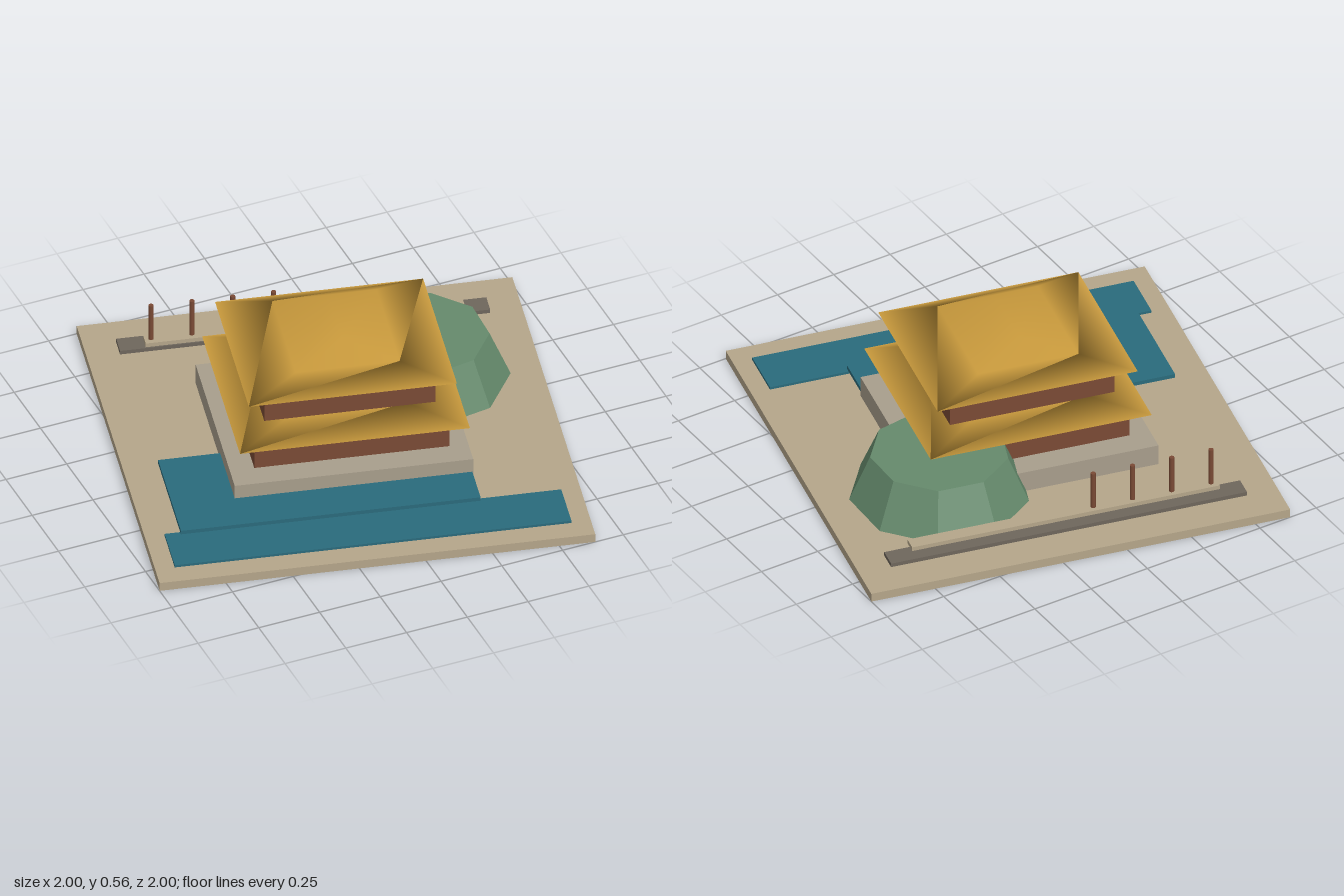
import * as THREE from 'three';

const mat = (color, extra = {}) => new THREE.MeshStandardMaterial({ color, ...extra });
const sand = mat(0xb5a68a), stone = mat(0xa89e8c), darkStone = mat(0x6e665c);
const wood = mat(0x7a4a35), gold = mat(0xc99a3c), water = mat(0x2a6b7c);
const moss = mat(0x658a6c, { flatShading: true });

// Hipped roof: eave ring, half-height ring, ridge along z, closed underside
function roofGeometry(a, b, ridge, height) {
  const corners = [[-1, -1], [1, -1], [1, 1], [-1, 1]];
  const pos = [];
  for (const [sx, sz] of corners) pos.push(sx * a, 0, sz * b);
  for (const [sx, sz] of corners) pos.push(sx * a / 2, height / 2, sz * (b + ridge) / 2);
  pos.push(0, height, -ridge, 0, height, ridge);

  const idx = [];
  for (let i = 0; i < 4; i++) {
    const j = (i + 1) % 4, m = i + 4, n = j + 4;
    if (i % 2 === 0) idx.push(i, m, j, m, n, j);
    else idx.push(i, m, n, i, n, j);
  }
  idx.push(4, 8, 5, 5, 8, 9, 5, 9, 6, 6, 9, 7, 7, 9, 8, 7, 8, 4); // slopes to the ridge
  idx.push(0, 1, 2, 0, 2, 3); // underside

  const g = new THREE.BufferGeometry();
  g.setAttribute('position', new THREE.Float32BufferAttribute(pos, 3));
  g.setIndex(idx);
  g.computeVertexNormals();
  return g;
}

export function createModel() {
  const model = new THREE.Group();
  model.name = 'pavilionGarden';
  model.rotation.y = -0.22;

  const add = (name, geometry, material, x, y, z) => {
    const mesh = new THREE.Mesh(geometry, material);
    mesh.name = name;
    mesh.position.set(x, y, z);
    model.add(mesh);
    return mesh;
  };
  // Box given by its bottom and top heights
  const slab = (name, material, w, d, y0, y1, x = 0, z = 0) =>
    add(name, new THREE.BoxGeometry(w, y1 - y0, d), material, x, (y0 + y1) / 2, z);

  // Ground and ponds
  slab('ground', sand, 1.675, 1.675, 0, 0.036);
  slab('upperPond', water, 1.152, 0.462, 0.048, 0.064, -0.127, 0.331);
  slab('lowerPond', water, 1.525, 0.205, 0.036, 0.046, 0, 0.647);

  // Pavilion
  slab('plinth', stone, 0.917, 0.79, 0.036, 0.122, -0.006, 0);
  slab('lowerStorey', wood, 0.75, 0.64, 0.14, 0.241);
  add('lowerRoof', roofGeometry(0.442, 0.383, 0.115, 0.11), gold, 0, 0.26, 0);
  slab('upperStorey', wood, 0.658, 0.56, 0.325, 0.427);
  add('upperRoof', roofGeometry(0.4, 0.342, 0.125, 0.11), gold, 0, 0.445, 0);

  // Mossy hill
  add('hill', new THREE.CylinderGeometry(0.265, 0.345, 0.187, 9), moss, 0.376, 0.132, -0.292);

  // Rear walkway with posts
  slab('walkwayBase', darkStone, 1.423, 0.08, 0.04, 0.056, 0, -0.663);
  slab('walkwayBeam', sand, 1.23, 0.055, 0.068, 0.085, 0, -0.64);
  const post = new THREE.CylinderGeometry(0.01, 0.01, 0.158, 10);
  for (let i = 0; i < 4; i++) add('post', post, wood, -0.589 + i * 0.157, 0.162, -0.641);

  return model;
}
